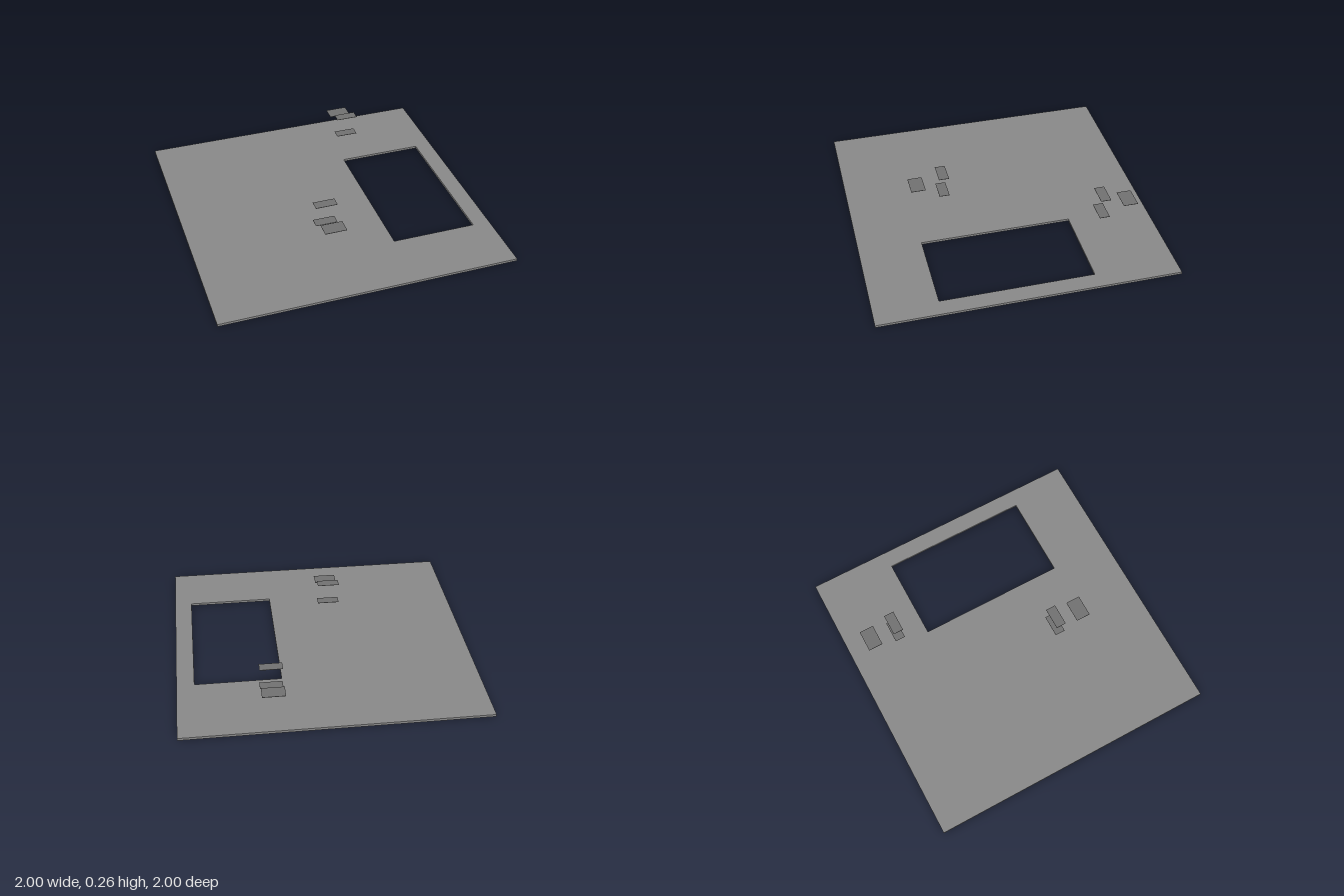
import * as THREE from 'three';

export function createModel() {
  const group = new THREE.Group();
  const slabMaterial = new THREE.MeshStandardMaterial({ color: 0x888888, flatShading: true });
  const panelMaterial = new THREE.MeshStandardMaterial({ color: 0x707070, flatShading: true });

  // Rectangle outline in plan; shape y becomes -z once laid flat
  const rectangle = (PathType, x0, x1, z0, z1) => new PathType([
    new THREE.Vector2(x0, -z1), new THREE.Vector2(x1, -z1),
    new THREE.Vector2(x1, -z0), new THREE.Vector2(x0, -z0),
  ]);

  // Floor slab with a rectangular opening
  const outline = rectangle(THREE.Shape, -1, 1, -1, 1);
  outline.holes.push(rectangle(THREE.Path, 0.308, 0.883, -0.447, 0.578));
  const slab = new THREE.Mesh(
    new THREE.ExtrudeGeometry(outline, { depth: 0.016, bevelEnabled: false }).rotateX(-Math.PI / 2),
    slabMaterial
  );
  slab.name = 'floorSlab';
  group.add(slab);

  // Two floating sets of thin panels: two stacked, one offset between their levels
  const addPanel = (parent, name, depth, y, z) => {
    const mesh = new THREE.Mesh(new THREE.BoxGeometry(0.15, 0.002, depth), panelMaterial);
    mesh.name = name;
    mesh.position.set(0, y, z);
    parent.add(mesh);
  };
  for (const [name, x, z, side] of [['frontPanelSet', -0.1, 0.347, 1], ['backPanelSet', 0.391, -0.65, -1]]) {
    const set = new THREE.Group();
    set.name = name;
    set.position.set(x, 0, z);
    addPanel(set, 'lowerPanel', 0.07, 0.115, 0);
    addPanel(set, 'upperPanel', 0.07, 0.258, 0);
    addPanel(set, 'middlePanel', 0.1, 0.189, side * 0.18);
    group.add(set);
  }
  return group;
}
